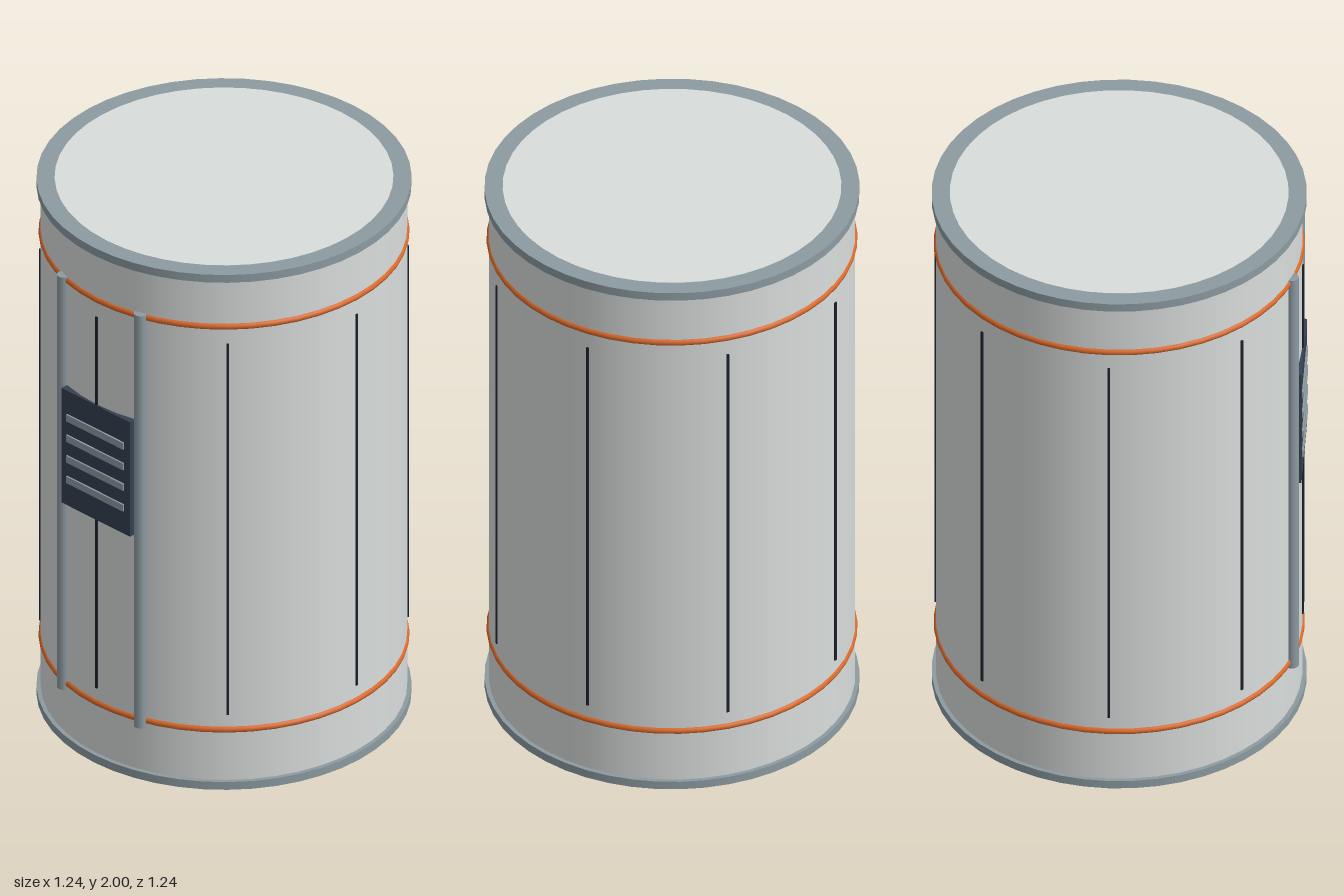
import * as THREE from 'three';

const mat = (name, color) => {
  const m = new THREE.MeshStandardMaterial({ color });
  m.name = name;
  return m;
};

export function createModel() {
  const shell = mat('pale shell', 0xd9dddc);
  const steel = mat('blue grey steel', 0x8c9ba2);
  const orange = mat('orange band', 0xd9692a);
  const dark = mat('dark panel', 0x364050);
  const ink = mat('seam', 0x1c212c);

  const model = new THREE.Group();
  model.name = 'canister';
  const add = (name, geometry, material, x = 0, y = 0, z = 0, parent = model) => {
    const mesh = new THREE.Mesh(geometry, material);
    mesh.name = name;
    mesh.position.set(x, y, z);
    parent.add(mesh);
    return mesh;
  };

  const R = 0.606, SIDES = 48;

  // Main drum
  add('body', new THREE.CylinderGeometry(R, R, 1.96, SIDES), shell, 0, 1, 0);

  // End rims with inset pale discs, and an orange band near each end
  for (const [end, s] of [['top', 1], ['bottom', -1]]) {
    add(end + 'Rim', new THREE.CylinderGeometry(0.62, 0.62, 0.03, SIDES), steel, 0, 1 + s * 0.984, 0);
    add(end + 'Disc', new THREE.CylinderGeometry(0.56, 0.56, 0.004, SIDES), shell, 0, 1 + s * 0.998, 0);
    const band = add(end + 'Band', new THREE.TorusGeometry(0.6, 0.0135, 10, SIDES), orange, 0, 1.008 + s * 0.782, 0);
    band.rotation.x = Math.PI / 2;
  }

  // Eight vertical seams around the drum
  for (let i = 0; i < 8; i++) {
    const a = i * Math.PI / 4;
    const seam = add('seam', new THREE.BoxGeometry(0.009, 1.44, 0.009), ink,
      Math.sin(a) * R, 1.005, Math.cos(a) * R);
    seam.rotation.y = a;
  }

  // Front rails
  for (const s of [-1, 1]) {
    add(s > 0 ? 'leftRail' : 'rightRail', new THREE.CylinderGeometry(0.0225, 0.0225, 1.6, 12), steel,
      s * 0.176, 1.004, 0.582);
  }

  // Vent panel with four slats
  const vent = new THREE.Group();
  vent.name = 'ventPanel';
  vent.position.set(0, 1.162, 0);
  model.add(vent);
  add('panel', new THREE.BoxGeometry(0.314, 0.444, 0.03), dark, 0, 0, 0.597, vent);
  for (let i = 0; i < 4; i++) {
    add('slat', new THREE.BoxGeometry(0.26, 0.026, 0.012), steel, 0, -0.12 + i * 0.08, 0.612, vent);
  }

  return model;
}
